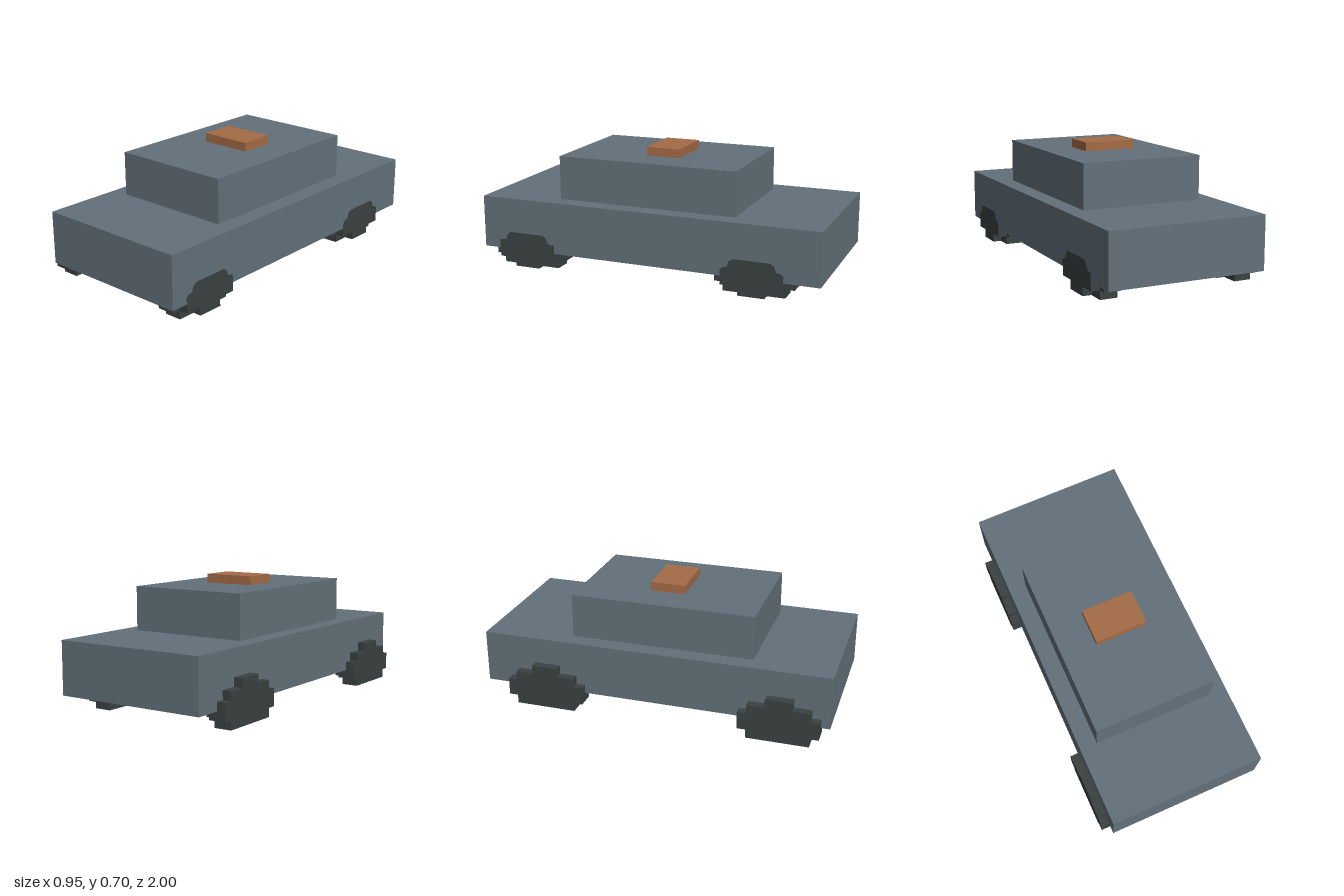
import * as THREE from 'three';

export function createModel() {
  const slate = new THREE.MeshStandardMaterial({ color: 0x63717a });
  slate.name = 'slate body';
  const copper = new THREE.MeshStandardMaterial({ color: 0xa56b46 });
  copper.name = 'copper light';
  const rubber = new THREE.MeshStandardMaterial({ color: 0x3b4141 });
  rubber.name = 'dark rubber';

  const model = new THREE.Group();
  model.name = 'car';

  // Box given by its minimum and maximum on each axis
  function block(parent, name, material, [x0, x1], [y0, y1], [z0, z1]) {
    const mesh = new THREE.Mesh(new THREE.BoxGeometry(x1 - x0, y1 - y0, z1 - z0), material);
    mesh.position.set((x0 + x1) / 2, (y0 + y1) / 2, (z0 + z1) / 2);
    mesh.name = name;
    parent.add(mesh);
  }

  // Hull, cabin and roof light
  block(model, 'body', slate, [-0.425, 0.475], [0.1, 0.4], [-1, 1]);
  block(model, 'cabin', slate, [-0.325, 0.375], [0.4, 0.65], [-0.5, 0.55]);
  block(model, 'roofLight', copper, [-0.125, 0.175], [0.65, 0.7], [-0.1, 0.1]);

  // Stepped wheel slices: each row is [bottom, top, half width along z]
  const wide = [[0, 0.05, 0.175], [0.05, 0.15, 0.225], [0.15, 0.2, 0.175], [0.2, 0.25, 0.075]];
  const narrow = [[0, 0.05, 0.075], [0.05, 0.15, 0.175]];
  const inner = [[0.05, 0.15, 0.175]];

  function slice(wheel, x, rows) {
    for (const [y0, y1, half] of rows) {
      block(wheel, 'tread', rubber, x, [y0, y1], [-half, half]);
    }
  }

  // Wheel face lying flush on the body side, with clipped corners
  const face = new THREE.Shape();
  const half = [[0.175, 0.1], [0.175, 0.135], [0.16, 0.15], [0.135, 0.155], [0.125, 0.185], [0.105, 0.2]];
  face.setFromPoints([
    ...half.map(([z, y]) => new THREE.Vector2(z, y)),
    ...half.slice().reverse().map(([z, y]) => new THREE.Vector2(-z, y)),
  ]);
  const faceGeometry = new THREE.ExtrudeGeometry(face, { depth: 0.003, bevelEnabled: false });

  for (const [end, z] of [['front', 0.725], ['rear', -0.625]]) {
    // Wheel standing out from the side
    const right = new THREE.Group();
    right.name = end + 'RightWheel';
    slice(right, [-0.475, -0.375], wide);
    slice(right, [-0.375, -0.325], narrow);

    // Wheel tucked under the side
    const left = new THREE.Group();
    left.name = end + 'LeftWheel';
    slice(left, [0.275, 0.325], inner);
    slice(left, [0.325, 0.425], wide);
    slice(left, [0.425, 0.475], narrow);
    const plate = new THREE.Mesh(faceGeometry, rubber);
    plate.name = 'wheelFace';
    plate.rotation.y = Math.PI / 2;
    plate.position.x = 0.474;
    left.add(plate);

    for (const wheel of [left, right]) {
      wheel.position.z = z;
      model.add(wheel);
    }
  }
  return model;
}
